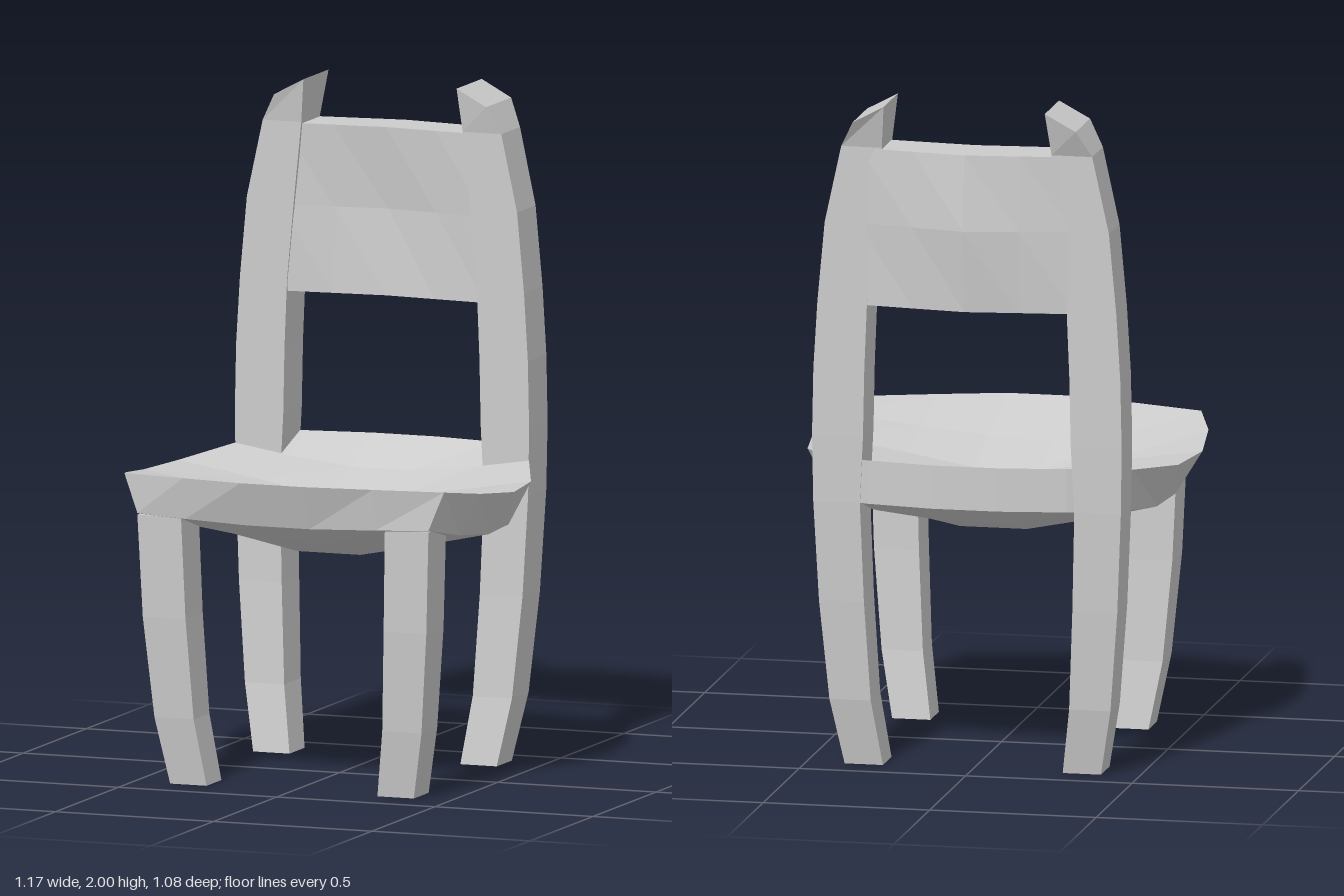
import * as THREE from 'three';

const material = new THREE.MeshStandardMaterial({ color: 0xcccccc, flatShading: true });

// Skin a list of equal-length rings (counter-clockwise about the loft direction), closing both ends.
function loft(name, rings) {
  const out = [];
  const n = rings[0].length;
  const quad = (a, b, c, d) => out.push(...a, ...b, ...c, ...a, ...c, ...d);
  for (let j = 0; j < rings.length - 1; j++) {
    const p = rings[j], q = rings[j + 1];
    for (let i = 0; i < n; i++) {
      const k = (i + 1) % n;
      quad(p[i], p[k], q[k], q[i]);
    }
  }
  const first = rings[0], last = rings[rings.length - 1];
  for (let i = 0; i < n / 2 - 1; i++) {
    quad(last[i], last[i + 1], last[n - 2 - i], last[n - 1 - i]);
    quad(first[n - 1 - i], first[n - 2 - i], first[i + 1], first[i]);
  }
  const g = new THREE.BufferGeometry();
  g.setAttribute('position', new THREE.Float32BufferAttribute(out, 3));
  g.computeVertexNormals();
  const mesh = new THREE.Mesh(g, material);
  mesh.name = name;
  return mesh;
}

// Upright of rectangular section; rows are [inner x, outer x, back z, front z, inner y, outer y].
function upright(name, side, rows) {
  return loft(name, rows.map(([xi, xo, z0, z1, yi, yo = yi]) => {
    const a = side > 0 ? [xi, yi] : [-xo, yo];
    const b = side > 0 ? [xo, yo] : [-xi, yi];
    return [[...a, z0], [...a, z1], [...b, z1], [...b, z0]];
  }));
}

const postRows = [
  [0.27, 0.385, -0.40, -0.28, 0],
  [0.298, 0.422, -0.44, -0.308, 0.2],
  [0.313, 0.448, -0.465, -0.326, 0.5],
  [0.322, 0.462, -0.48, -0.336, 0.8],
  [0.312, 0.465, -0.483, -0.336, 1.0],
  [0.308, 0.461, -0.483, -0.336, 1.2],
  [0.300, 0.449, -0.483, -0.336, 1.4],
  [0.278, 0.427, -0.483, -0.336, 1.64],
  [0.255, 0.377, -0.485, -0.336, 1.87],
  [0.242, 0.335, -0.52, -0.32, 2.0, 1.95],
];
const legRows = [
  [0.27, 0.385, 0.26, 0.378, 0],
  [0.298, 0.422, 0.285, 0.41, 0.2],
  [0.313, 0.448, 0.30, 0.437, 0.5],
  [0.322, 0.46, 0.31, 0.45, 0.805],
];

// Dished seat: edge and centre values for each row from back to front.
function seat() {
  const rows = [
    // w, edge y, mid y, edge z, mid z | under: w, edge y, mid y, edge z, mid z
    [0.40, 0.93, 0.93, -0.45, -0.515, 0.40, 0.80, 0.80, -0.45, -0.515],
    [0.465, 0.905, 0.855, -0.335, -0.335, 0.42, 0.775, 0.727, -0.335, -0.335],
    [0.557, 0.88, 0.80, -0.12, -0.12, 0.49, 0.75, 0.665, -0.11, -0.11],
    [0.585, 0.88, 0.80, 0.085, 0.085, 0.505, 0.75, 0.665, 0.085, 0.085],
    [0.56, 0.902, 0.855, 0.285, 0.285, 0.495, 0.775, 0.73, 0.285, 0.30],
    [0.505, 0.925, 0.932, 0.44, 0.537, 0.46, 0.81, 0.80, 0.45, 0.49],
  ];
  const cols = [[-1, 0], [-0.3, 0.53], [-0.1, 1], [0.1, 1], [0.3, 0.53], [1, 0]];
  const line = ([w, ye, ym, ze, zm]) => cols.map(([x, f]) =>
    [f ? x : x * w, ye + (ym - ye) * f, ze + (zm - ze) * f]);
  return loft('seat', rows.map(r => [...line(r.slice(5)), ...line(r).reverse()]));
}

// Bowed back panel, thickest at mid height.
function backPanel() {
  const xs = [-0.325, -0.16, 0, 0.16, 0.325];
  return loft('backPanel', xs.map(x => {
    const bow = 1 - Math.abs(x) / 0.325;
    const back = -0.479 - 0.04 * bow, front = -0.339 - 0.028 * bow;
    return [
      [x, 1.395, back], [x, 1.64, back - 0.02 * bow], [x, 1.865, back],
      [x, 1.865, front], [x, 1.62, front - 0.02 * bow], [x, 1.365, front],
    ];
  }));
}

export function createModel() {
  const chair = new THREE.Group();
  chair.name = 'chair';
  for (const [side, label] of [[1, 'left'], [-1, 'right']]) {
    chair.add(upright(label + 'BackPost', side, postRows));
    chair.add(upright(label + 'FrontLeg', side, legRows));
  }
  chair.add(seat(), backPanel());
  return chair;
}
